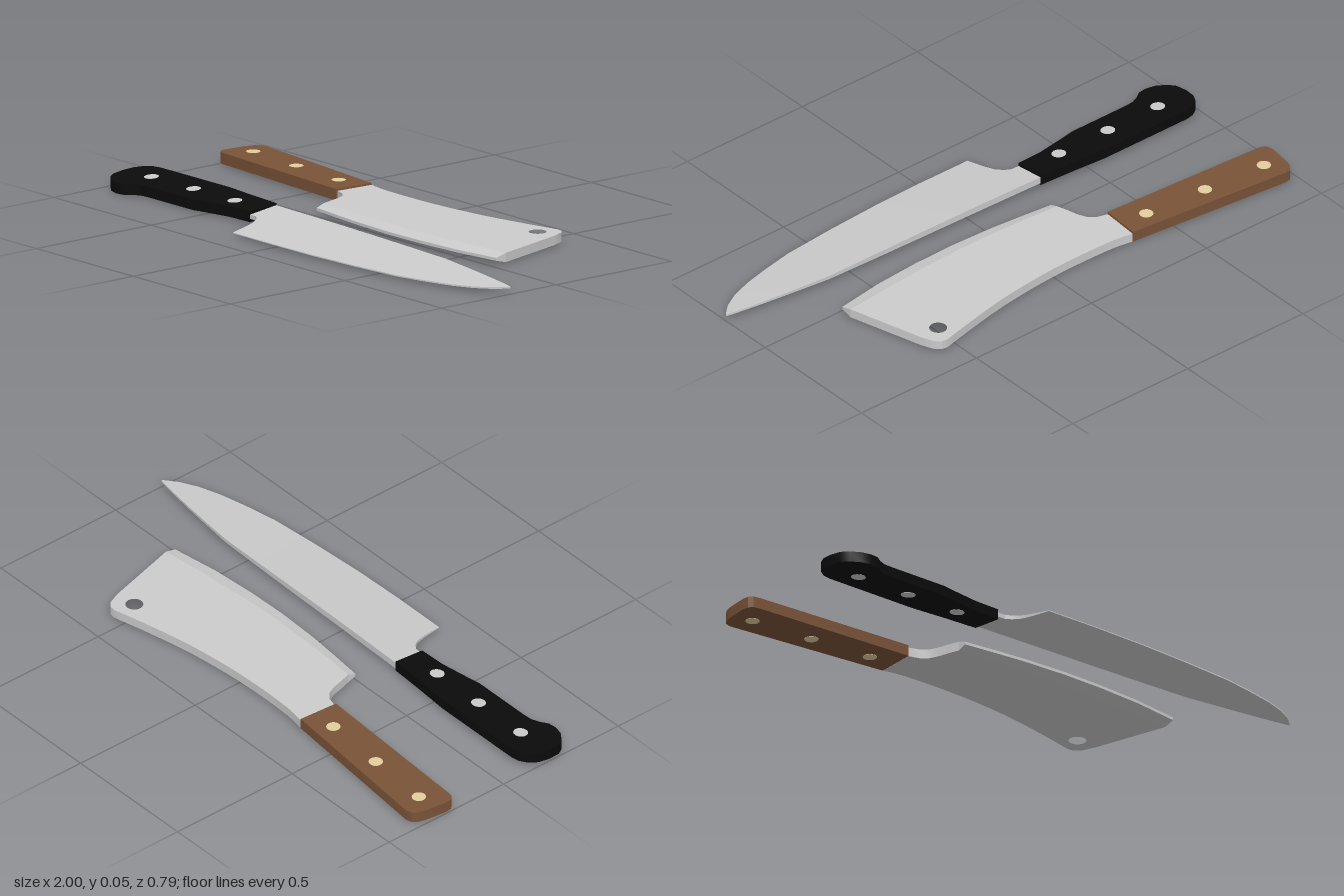
import * as THREE from 'three';
import { toCreasedNormals } from 'three/addons/utils/BufferGeometryUtils.js';

const material = (color) => new THREE.MeshStandardMaterial({ color });
const steel = material(0xcccccc);
const wood = material(0x7a5338);
const brass = material(0xe2cf9f);
const black = material(0x0b0b0b);

const V = (list) => list.map(([x, z]) => new THREE.Vector2(x, -z));

function mesh(name, geometry, mat) {
  const m = new THREE.Mesh(toCreasedNormals(geometry, 0.5), mat);
  m.name = name;
  return m;
}

// Plate from a plan outline of [x, z]; range(x, z) gives its [bottom, top] heights
function plate(outline, range, hole) {
  const shape = new THREE.Shape(V(outline));
  if (hole) {
    const path = new THREE.Path();
    path.absarc(hole.x, -hole.z, hole.r, 0, Math.PI * 2, true);
    shape.holes.push(path);
  }
  const geo = new THREE.ExtrudeGeometry(shape, { depth: 1, bevelEnabled: false, curveSegments: 16 });
  geo.rotateX(-Math.PI / 2);
  const p = geo.attributes.position;
  for (let i = 0; i < p.count; i++) {
    const [lo, hi] = range(p.getX(i), p.getZ(i));
    p.setY(i, THREE.MathUtils.lerp(lo, hi, p.getY(i)));
  }
  return geo;
}

// Solid lofted along +x through four-cornered sections:
// back z, edge z, and range(x, z) for the heights at each
function loft(stations, range) {
  const pos = [], index = [];
  for (const [x, back, edge] of stations) {
    const [b0, b1] = range(x, back, false), [e0, e1] = range(x, edge, true);
    pos.push(x, b0, back, x, b1, back, x, e1, edge, x, e0, edge);
  }
  const n = stations.length;
  for (let i = 0; i < n - 1; i++) {
    for (let k = 0; k < 4; k++) {
      const a = i * 4 + k, b = i * 4 + (k + 1) % 4;
      index.push(a, b, b + 4, a, b + 4, a + 4);
    }
  }
  const e = (n - 1) * 4;
  index.push(0, 2, 1, 0, 3, 2, e, e + 1, e + 2, e, e + 2, e + 3);
  const geo = new THREE.BufferGeometry();
  geo.setAttribute('position', new THREE.Float32BufferAttribute(pos, 3));
  geo.setIndex(index);
  geo.computeVertexNormals();
  return geo;
}

// Rivets pass right through a handle and stand slightly proud on both faces
function addRivets(group, points, radius, mat, range, tilt) {
  for (const [x, z] of points) {
    const [lo, hi] = range(x, z);
    const rivet = mesh('rivet', new THREE.CylinderGeometry(radius, radius, hi - lo + 0.002, 20), mat);
    rivet.position.set(x, (lo + hi) / 2, z);
    rivet.rotation.x = tilt;
    group.add(rivet);
  }
}

function buildCleaver() {
  const g = new THREE.Group();
  g.name = 'cleaver';
  const flat = () => [0.007, 0.039];

  // Where the flat of the blade meets the ground bevel, and the cutting edge: [x, bevel z, edge z]
  const bevel = [
    [-0.24, -0.035, -0.004], [-0.12, -0.026, 0.009], [0, -0.021, 0.02], [0.17, -0.018, 0.027],
    [0.33, -0.025, 0.024], [0.5, -0.038, 0.012], [0.675, -0.055, -0.014],
  ];
  const spine = new THREE.SplineCurve(V([
    [-0.33, -0.32], [-0.25, -0.308], [-0.1, -0.305], [0.05, -0.311],
    [0.23, -0.331], [0.4, -0.364], [0.54, -0.397],
  ])).getPoints(18).map((v) => [v.x, -v.y]);
  const body = [
    ...spine, [0.562, -0.394], [0.58, -0.378], [0.6, -0.33], [0.675, -0.055],
    ...bevel.slice(0, -1).reverse().map(([x, z]) => [x, z]),
    [-0.252, -0.075], [-0.262, -0.115], [-0.277, -0.148], [-0.3, -0.168], [-0.34, -0.179],
  ];
  g.add(mesh('cleaverBlade', plate(body, flat, { x: 0.52, z: -0.325, r: 0.03 }), steel));
  g.add(mesh('cleaverEdge', loft(bevel, (x, z, edge) => (edge ? [0.018, 0.028] : flat())), steel));

  // Wooden handle
  const grip = [
    [-0.332, -0.32], [-0.945, -0.381], [-0.968, -0.376], [-0.982, -0.358], [-0.99, -0.33],
    [-1, -0.25], [-0.997, -0.228], [-0.985, -0.214], [-0.963, -0.21], [-0.342, -0.175],
  ];
  const range = () => [0.006, 0.045];
  g.add(mesh('cleaverHandle', plate(grip, range), wood));
  addRivets(g, [[-0.917, -0.3], [-0.675, -0.283], [-0.435, -0.265]], 0.024, brass, range, 0);
  return g;
}

function buildChefKnife() {
  const g = new THREE.Group();
  g.name = 'chefKnife';
  // The knife leans on its edge, so its middle plane falls towards +z
  const slope = 0.085;
  const mid = (z) => 0.0185 + slope * (0.305 - z);

  // Blade stations: [x, spine z, edge z]
  const blade = [
    [-0.31, 0.122, 0.235], [-0.27, 0.123, 0.237], [-0.25, 0.124, 0.25], [-0.232, 0.124, 0.275],
    [-0.22, 0.125, 0.315], [-0.207, 0.125, 0.39], [0, 0.13, 0.391], [0.2, 0.134, 0.387],
    [0.4, 0.138, 0.375], [0.6, 0.143, 0.357], [0.72, 0.157, 0.333], [0.82, 0.17, 0.308],
    [0.9, 0.182, 0.278], [0.96, 0.192, 0.242], [1, 0.2, 0.204],
  ];
  const bladeRange = (x, z) => {
    const thin = 1 - 0.75 * THREE.MathUtils.smoothstep(x, 0, 1);
    const half = 0.0015 + 0.0105 * thin * Math.max(0, (0.39 - z) / 0.27);
    const y = mid(z) - 0.004 * Math.max(0, x);
    return [y - half, y + half];
  };
  g.add(mesh('chefBlade', loft(blade, bladeRange), steel));

  // Black handle with a hooked butt
  const grip = [
    [-0.3, 0.121], [-0.43, 0.113], [-0.56, 0.102], [-0.92, 0.102], [-0.95, 0.108], [-0.978, 0.127],
    [-0.995, 0.158], [-1, 0.2], [-0.995, 0.245], [-0.978, 0.272], [-0.945, 0.296], [-0.91, 0.305],
    [-0.878, 0.301], [-0.853, 0.283], [-0.825, 0.27], [-0.79, 0.267], [-0.56, 0.267],
    [-0.5, 0.256], [-0.4, 0.24], [-0.3, 0.237],
  ];
  const range = (x, z) => [mid(z) - 0.0185, mid(z) + 0.0185];
  g.add(mesh('chefHandle', plate(grip, range), black));
  addRivets(g, [[-0.865, 0.187], [-0.648, 0.187], [-0.435, 0.187]], 0.025, steel, range, Math.atan(slope));
  return g;
}

export function createModel() {
  const model = new THREE.Group();
  model.name = 'kitchenKnives';
  model.add(buildCleaver(), buildChefKnife());
  return model;
}
